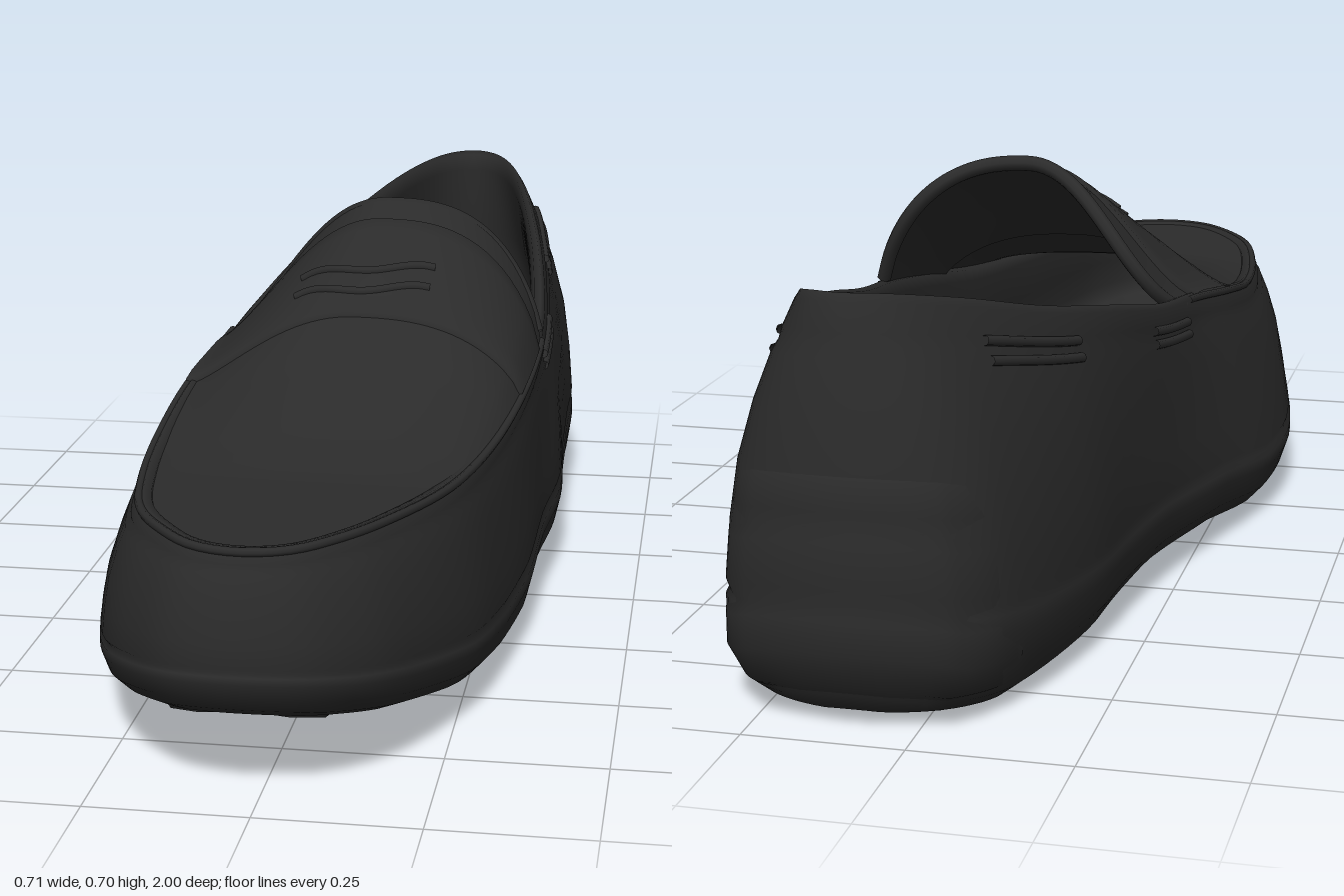
import * as THREE from 'three';
import { mergeVertices } from 'three/addons/utils/BufferGeometryUtils.js';

// Stations from toe to heel: widest outline z, xRightSide, xLeftSide | rim z, x, x, y
const STATIONS = [
  [1.0, -0.03, -0.03, 0.96, -0.02, -0.02, 0.385],
  [0.975, -0.125, 0.075, 0.94, -0.09, 0.05, 0.385],
  [0.9, -0.2, 0.155, 0.87, -0.155, 0.115, 0.385],
  [0.8, -0.26, 0.21, 0.78, -0.205, 0.165, 0.383],
  [0.6, -0.32, 0.28, 0.6, -0.245, 0.235, 0.38],
  [0.4, -0.353, 0.31, 0.4, -0.265, 0.28, 0.39],
  [0.2, -0.345, 0.33, 0.2, -0.262, 0.31, 0.42],
  [0, -0.3, 0.337, 0, -0.238, 0.322, 0.45],
  [-0.2, -0.248, 0.352, -0.2, -0.22, 0.315, 0.475],
  [-0.4, -0.212, 0.342, -0.4, -0.18, 0.295, 0.515],
  [-0.6, -0.188, 0.335, -0.6, -0.115, 0.265, 0.555],
  [-0.8, -0.14, 0.33, -0.77, -0.04, 0.225, 0.6],
  [-0.9, -0.095, 0.3, -0.86, 0.015, 0.19, 0.622],
  [-0.96, -0.025, 0.225, -0.905, 0.06, 0.155, 0.632],
  [-0.99, 0.1, 0.1, -0.925, 0.11, 0.11, 0.635],
];
const COUNT = 28;

// Underside height and instep rise, as [z, value] pairs
const SOLE = [[-1, 0.05], [-0.93, 0.015], [-0.8, 0], [-0.5, 0.003], [-0.25, 0.026], [0, 0.023],
  [0.2, 0.001], [0.4, 0.01], [0.6, 0.04], [0.8, 0.085], [0.92, 0.118], [1, 0.145]];
const INSTEP = [[-0.1, 0.265], [0, 0.225], [0.1, 0.18], [0.2, 0.13], [0.3, 0.085], [0.4, 0.058],
  [0.5, 0.03], [0.6, 0.01], [0.8, 0.002], [0.96, 0]];

function interp(table, z) {
  if (z <= table[0][0]) return table[0][1];
  for (let i = 1; i < table.length; i++) {
    const [z0, a] = table[i - 1], [z1, b] = table[i];
    if (z <= z1) return a + (b - a) * (z - z0) / (z1 - z0);
  }
  return table[table.length - 1][1];
}

// Closed loop: toe, down the +x side to the heel, back up the other side
function loop(pick) {
  const plus = STATIONS.map((s) => pick(s, 1));
  const minus = STATIONS.slice(1, -1).reverse().map((s) => pick(s, 0));
  return new THREE.CatmullRomCurve3([...plus, ...minus], true);
}
const midLoop = loop((s, side) => new THREE.Vector3(s[1 + side], 0, s[0]));
const rimLoop = loop((s, side) => new THREE.Vector3(s[4 + side], s[6], s[3]));
const wrap = (t) => ((t % 1) + 1) % 1;

// Body point: height fraction f, blend m from widest outline to rim, inset d
function body(t, f, m, d) {
  const rim = rimLoop.getPoint(wrap(t));
  const p = midLoop.getPoint(wrap(t));
  // the walls lean in sooner beside the instep than at toe and heel
  const lean = 1 - 0.45 * Math.max(0, 1 - ((p.z - 0.15) / 0.6) ** 2);
  p.lerp(rim, Math.pow(m, lean));
  const cx = 0.04 - 0.06 * p.z;
  const x = cx + (p.x - cx) * (1 - d / 0.3);
  const z = p.z * (1 - d);
  const base = interp(SOLE, z) + 0.008;
  return new THREE.Vector3(x, base + f * (rim.y - base), z);
}

// Vamp point: u across (-1..1), v from toe (0) to tongue edge (1)
const V_END = 7.25 / COUNT;
function vamp(u, v, lift = 0) {
  const plus = rimLoop.getPoint(wrap(v * V_END)), minus = rimLoop.getPoint(wrap(-v * V_END));
  const p = minus.lerp(plus, (u + 1) / 2);
  // steep on the +x side, sloping on the other
  const arch = u > 0 ? Math.pow(Math.max(0, 1 - u ** 2.6), 0.75) : Math.pow(Math.max(0, 1 - u * u), 1.45);
  p.y += interp(INSTEP, p.z) * arch + lift;
  p.x += u * lift * 0.3;
  const u2 = u * u, sweep = u > 0 ? 0.15 : 0.28;
  p.z -= Math.pow(v, 14) * (0.025 * (1 - u2) + sweep * u2 * (1 - u2));
  return p;
}

// Surface from a point function over an nu by nv grid
function grid(fn, nu, nv) {
  const pos = [], index = [];
  for (let j = 0; j <= nv; j++) for (let i = 0; i <= nu; i++) pos.push(...fn(i / nu, j / nv, j).toArray());
  for (let j = 0; j < nv; j++) for (let i = 0; i < nu; i++) {
    const a = j * (nu + 1) + i, b = a + nu + 1;
    index.push(a, b, a + 1, a + 1, b, b + 1);
  }
  let g = new THREE.BufferGeometry();
  g.setAttribute('position', new THREE.Float32BufferAttribute(pos, 3));
  g.setIndex(index);
  g = mergeVertices(g, 1e-5);
  g.computeVertexNormals();
  return g;
}

function tube(fn, n, radius) {
  const pts = Array.from({ length: n + 1 }, (_, i) => fn(i / n));
  return new THREE.TubeGeometry(new THREE.CatmullRomCurve3(pts), n * 2, radius, 8);
}

export function createModel() {
  const shoe = new THREE.Group();
  shoe.name = 'loafer';
  const leather = new THREE.MeshStandardMaterial({ color: 0x2b2b2b, side: THREE.DoubleSide });
  leather.name = 'black leather';
  const add = (name, geometry) => {
    const mesh = new THREE.Mesh(geometry, leather);
    mesh.name = name;
    shoe.add(mesh);
    return mesh;
  };

  // Sole, side walls, rolled collar, lining and insole in one skin
  const LEVELS = [
    [0, 0, 0.3], [0, 0, 0.16], [0, 0, 0.055], [0.03, 0, 0.032], [0.1, 0, 0.01], [0.2, 0, 0], [0.25, 0, 0],
    [0.27, 0, 0.006], [0.3, 0.01, 0], [0.45, 0.08, 0], [0.6, 0.2, 0], [0.75, 0.42, 0], [0.87, 0.66, 0],
    [0.9, 0.74, 0.003], [0.93, 0.8, 0], [1, 0.97, 0], [1.02, 1, 0.008], [1.01, 1, 0.022], [0.96, 0.95, 0.032],
    [0.75, 0.7, 0.036], [0.55, 0.35, 0.04], [0.43, 0.25, 0.055], [0.4, 0.25, 0.085], [0.4, 0.25, 0.3],
  ];
  add('body', grid((t, _, j) => body(t, ...LEVELS[j]), 140, LEVELS.length - 1));

  // Vamp with tongue, its lining and bound edge
  add('vamp', grid((a, v) => vamp(a * 2 - 1, v), 40, 50));
  add('tongueLining', grid((a, b) => vamp(a * 2 - 1, 0.8 + 0.2 * b, -0.024), 32, 12));
  add('tongueEdge', tube((a) => vamp(a * 1.96 - 0.98, 1, -0.012), 32, 0.013));
  add('vampSeam', tube((a) => rimLoop.getPoint(wrap((a * 2 - 1) * V_END)), 50, 0.007));

  // Saddle strap with slot lips
  const STRAP = [[0.825, -0.004], [0.826, 0.009], [0.85, 0.011], [0.88, 0.011], [0.91, 0.011],
    [0.94, 0.011], [0.958, 0.009], [0.96, -0.004]];
  add('strap', grid((a, _, j) => vamp(a * 2 - 1, ...STRAP[j]), 40, STRAP.length - 1));
  for (const v of [0.862, 0.89]) {
    add('strapSlotLip', tube((a) => vamp(a * 0.8 - 0.4, v + 0.008 * Math.cos(a * Math.PI * 2), 0.007), 12, 0.009));
  }

  // Ribbed heel guard, fading into the walls at both ends
  const GUARD = [[0.02, 0, 0.05], [0.05, 0, 0.015], [0.13, 0, -0.009], [0.22, 0, -0.009], [0.26, 0, 0],
    [0.3, 0.02, -0.01], [0.42, 0.06, -0.008], [0.46, 0.09, 0], [0.5, 0.11, -0.006], [0.58, 0.18, -0.004], [0.61, 0.22, 0.008]];
  add('heelGuard', grid((a, _, j) => {
    const [f, m, d] = GUARD[j];
    const fade = 1 - Math.min(1, Math.min(a, 1 - a) * 4);
    return body(0.4 + 0.2 * a, f, m, d + fade * 0.014);
  }, 48, GUARD.length - 1));

  // Lace runs along both sides of the collar
  for (const side of [1, -1]) {
    for (const [from, to] of [[7.4, 8.3], [9.7, 11]]) {
      for (const f of [0.87, 0.92]) {
        add('sideLace', tube((a) => body(side * (from + (to - from) * a) / COUNT, f, f * 2 - 1.07, 0), 10, 0.008));
      }
    }
  }

  // Hexagonal tread studs under forefoot and heel
  const stud = new THREE.CylinderGeometry(0.074, 0.054, 0.026, 6);
  const rows = [0.12, 0.24, 0.36, 0.48, 0.6, 0.72, 0.83, -0.48, -0.6, -0.72, -0.84];
  rows.forEach((z, r) => {
    const across = z > 0.8 || z < -0.8 || r % 2 ? [-0.5, 0.5] : [-1, 0, 1];
    for (const k of across) {
      const mesh = add('treadStud', stud);
      const slope = (interp(SOLE, z + 0.04) - interp(SOLE, z - 0.04)) / 0.08;
      mesh.position.set((z < 0 ? 0.05 : 0.02) - 0.06 * z + k * 0.14, interp(SOLE, z) + 0.013, z);
      mesh.rotation.x = -Math.atan(slope);
    }
  });
  return shoe;
}
